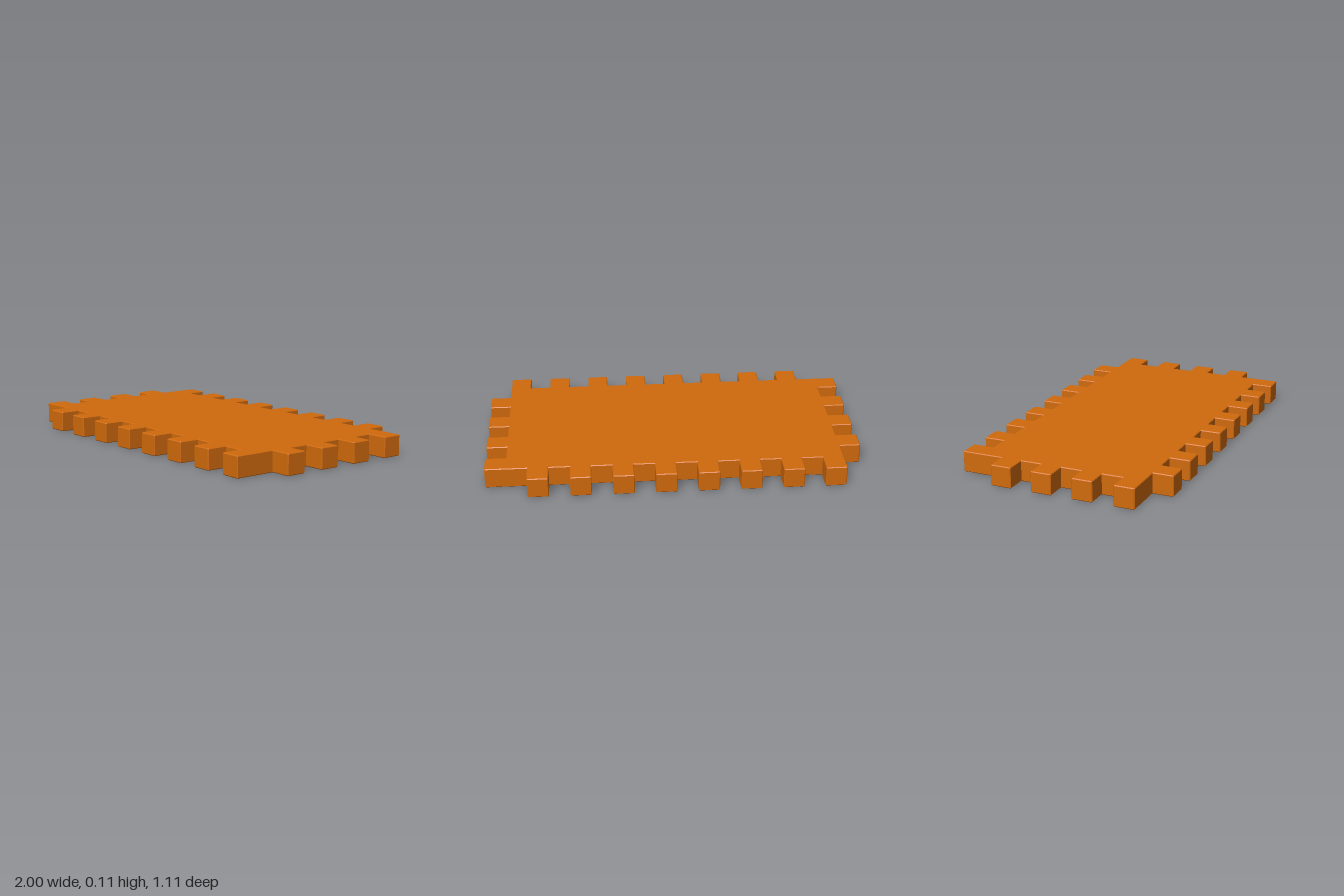
import * as THREE from 'three';

const U = 1 / 9;       // one tooth width, depth and plate thickness
const BEVEL = 0.004;   // small chamfer on all outer edges

// Half of the toothed outline in tooth units: back edge, then left (+x) edge
function halfOutline() {
  const pts = [];
  for (let x = -8; x <= 6; x += 2) {
    pts.push([x, 5], [x + 1, 5], [x + 1, 4]);
    if (x < 6) pts.push([x + 2, 4]);
  }
  for (let y = 4; y >= -2; y -= 2) {
    pts.push([9, y], [9, y - 1], [8, y - 1]);
    if (y > -2) pts.push([8, y - 2]);
  }
  return pts;
}

// Cut the outward corners of a clockwise outline by a small amount
function chamferCorners(pts, size) {
  const out = [];
  pts.forEach((p, i) => {
    const toPrev = pts[(i + pts.length - 1) % pts.length].clone().sub(p).normalize();
    const toNext = pts[(i + 1) % pts.length].clone().sub(p).normalize();
    if (toPrev.cross(toNext) > 0) {
      out.push(p.clone().addScaledVector(toPrev, size), p.clone().addScaledVector(toNext, size));
    } else {
      out.push(p);
    }
  });
  return out;
}

export function createModel() {
  const group = new THREE.Group();
  group.name = 'toothedPanel';

  const orange = new THREE.MeshStandardMaterial({ color: 0xd06a0c });
  orange.name = 'orange';

  // The outline is the same after half a turn
  const half = halfOutline();
  const outline = [...half, ...half.map(([x, y]) => [-x, -y])]
    .map(([x, y]) => new THREE.Vector2(x * U, y * U));

  // Plate with interlocking teeth on all four sides
  const geometry = new THREE.ExtrudeGeometry(new THREE.Shape(chamferCorners(outline, BEVEL)), {
    depth: U - 2 * BEVEL,
    bevelEnabled: true,
    bevelThickness: BEVEL,
    bevelSize: BEVEL,
    bevelOffset: -BEVEL,
    bevelSegments: 1,
  });
  geometry.rotateX(-Math.PI / 2);
  geometry.translate(0, BEVEL, 0);

  const panel = new THREE.Mesh(geometry, orange);
  panel.name = 'panel';
  group.add(panel);
  return group;
}
